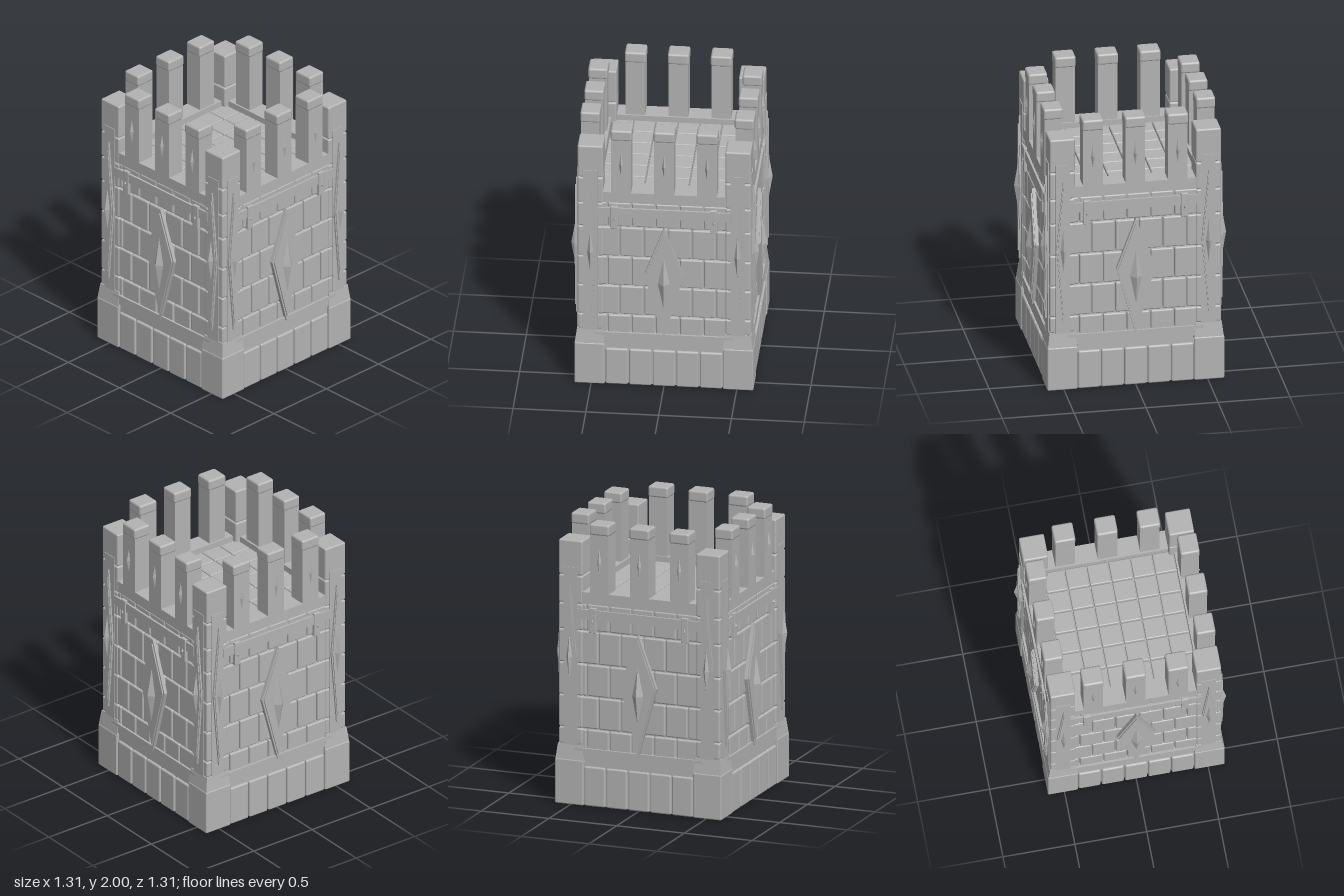
import * as THREE from 'three';
import { RoundedBoxGeometry } from 'three/addons/geometries/RoundedBoxGeometry.js';

const stone = new THREE.MeshStandardMaterial({ color: 0xb3b3b3 });
stone.name = 'grey stone';

function add(parent, name, geometry) {
  const mesh = new THREE.Mesh(geometry, stone);
  mesh.name = name;
  parent.add(mesh);
  return mesh;
}

// Box given by its limits on each axis; bevel > 0 softens the edges
function block(parent, name, [x0, x1], [y0, y1], [z0, z1], bevel = 0) {
  const w = x1 - x0, h = y1 - y0, d = z1 - z0;
  const geo = bevel ? new RoundedBoxGeometry(w, h, d, 2, bevel) : new THREE.BoxGeometry(w, h, d);
  geo.translate((x0 + x1) / 2, (y0 + y1) / 2, (z0 + z1) / 2);
  return add(parent, name, geo);
}

// Flat lozenge plate, its widest point at height ym
function lozenge(parent, name, x, hw, [y0, ym, y1], [z0, z1]) {
  const shape = new THREE.Shape([
    new THREE.Vector2(x, y0), new THREE.Vector2(x + hw, ym),
    new THREE.Vector2(x, y1), new THREE.Vector2(x - hw, ym),
  ]);
  const geo = new THREE.ExtrudeGeometry(shape, { depth: z1 - z0, bevelEnabled: false });
  add(parent, name, geo.translate(0, 0, z0));
}

// Four-sided pointed stud facing +z
function stud(parent, name, x, y, hw, hh, [z0, z1]) {
  const geo = new THREE.ConeGeometry(1, 1, 4).toNonIndexed();
  geo.rotateX(Math.PI / 2).scale(hw, hh, z1 - z0).translate(x, y, (z0 + z1) / 2);
  geo.computeVertexNormals();
  add(parent, name, geo);
}

// Box narrowing towards the top
function taperedBlock(parent, name, x, z, w0, w1, [y0, y1]) {
  const geo = new THREE.BoxGeometry(w0, y1 - y0, w0);
  const p = geo.attributes.position;
  for (let i = 0; i < p.count; i++) {
    if (p.getY(i) > 0) p.setXYZ(i, p.getX(i) * w1 / w0, p.getY(i), p.getZ(i) * w1 / w0);
  }
  geo.computeVertexNormals();
  add(parent, name, geo.translate(x, (y0 + y1) / 2, z));
}

const ROWS = [0.31, 0.54, 0.77, 1.0, 1.235, 1.43];

function createSide() {
  const side = new THREE.Group();

  // Foot stones
  for (let i = 0; i < 5; i++) {
    const x = -0.405 + i * 0.162;
    block(side, 'footStone', [x + 0.004, x + 0.158], [0, 0.28], [0.5, 0.61], 0.012);
  }
  block(side, 'footLedge', [-0.41, 0.41], [0.26, 0.31], [0.5, 0.593]);

  // Staggered courses of wall stones
  const width = 0.165;
  for (let r = 0; r < ROWS.length - 1; r++) {
    const start = r % 2 ? -0.47 : -0.555;
    for (let i = 0; i < 7; i++) {
      const x0 = Math.max(start + i * width, -0.47);
      const x1 = Math.min(start + (i + 1) * width, 0.47);
      if (x1 - x0 < 0.04) continue;
      block(side, 'wallStone', [x0 + 0.004, x1 - 0.004],
        [ROWS[r] + 0.005, ROWS[r + 1] - 0.005], [0.52, 0.588], 0.01);
    }
  }

  // Lower and upper rails, and the parapet
  block(side, 'lowerRail', [-0.475, 0.475], [0.335, 0.405], [0.55, 0.603]);
  block(side, 'lowerRailLip', [-0.4, 0.4], [0.31, 0.335], [0.55, 0.597]);
  block(side, 'upperRail', [-0.455, 0.455], [1.32, 1.39], [0.55, 0.603]);
  block(side, 'parapet', [-0.46, 0.46], [1.43, 1.51], [0.455, 0.592]);
  block(side, 'parapetLip', [-0.45, 0.45], [1.39, 1.43], [0.55, 0.582]);

  // Rail brackets with small studs
  for (const x of [-0.34, 0.34]) {
    block(side, 'railBracket', [x - 0.025, x + 0.025], [1.23, 1.405], [0.56, 0.61], 0.004);
    stud(side, 'bracketStud', x, 1.31, 0.009, 0.02, [0.609, 0.622]);
  }

  // Large central lozenge
  lozenge(side, 'centreLozenge', 0, 0.135, [0.38, 0.88, 1.25], [0.56, 0.612]);
  lozenge(side, 'centreLozengeFace', 0, 0.122, [0.42, 0.88, 1.215], [0.6, 0.62]);
  stud(side, 'centreStud', 0, 0.82, 0.042, 0.21, [0.619, 0.655]);

  // Corner pilaster strips with tall lozenges
  for (const s of [-1, 1]) {
    const x = s * 0.505;
    block(side, 'pilasterStrip', [x - 0.05, x + 0.05], [0.42, 1.68], [0.56, 0.6]);
    lozenge(side, 'pilasterLozenge', x, 0.047, [0.5, 1.05, 1.57], [0.59, 0.612]);
    lozenge(side, 'pilasterLozengeFace', x, 0.038, [0.56, 1.05, 1.51], [0.6, 0.619]);
    stud(side, 'pilasterStud', x, 1.05, 0.022, 0.165, [0.618, 0.645]);
  }

  // Tall battlement posts with caps
  for (const x of [-0.295, 0, 0.295]) {
    block(side, 'battlementPost', [x - 0.068, x + 0.068], [1.5, 1.94], [0.468, 0.592]);
    block(side, 'battlementCap', [x - 0.073, x + 0.073], [1.92, 2.0], [0.463, 0.597], 0.015);
    stud(side, 'battlementStud', x, 1.73, 0.016, 0.095, [0.591, 0.609]);
  }
  return side;
}

function createCorner(sx, sz) {
  const corner = new THREE.Group();
  const span = (s, a, b) => (s > 0 ? [a, b] : [-b, -a]);

  // Foot block, sloped shoulder, then stacked stones
  block(corner, 'cornerFoot', span(sx, 0.405, 0.615), [0, 0.32], span(sz, 0.405, 0.615), 0.01);
  taperedBlock(corner, 'cornerShoulder', sx * 0.508, sz * 0.508, 0.208, 0.18, [0.31, 0.425]);
  const levels = [0.42, 0.54, 0.77, 1.0, 1.235, 1.42, 1.62, 1.87];
  for (let i = 0; i < levels.length - 1; i++) {
    block(corner, 'cornerStone', span(sx, 0.42, 0.595), [levels[i] + 0.003, levels[i + 1]],
      span(sz, 0.42, 0.595), 0.012);
  }
  return corner;
}

export function createModel() {
  const tower = new THREE.Group();
  tower.name = 'tower';

  // Solid cores behind the stones
  block(tower, 'footCore', [-0.585, 0.585], [0.002, 0.3], [-0.585, 0.585]);
  block(tower, 'wallCore', [-0.565, 0.565], [0.25, 1.44], [-0.565, 0.565]);

  // Roof floor of square tiles
  const tile = 0.1515;
  for (let i = 0; i < 6; i++) {
    for (let j = 0; j < 6; j++) {
      const x = -0.4545 + i * tile, z = -0.4545 + j * tile;
      block(tower, 'floorTile', [x + 0.003, x + tile - 0.003], [1.42, 1.475],
        [z + 0.003, z + tile - 0.003], 0.008);
    }
  }

  // Four matching sides
  for (let i = 0; i < 4; i++) {
    const side = createSide();
    side.name = 'wallSide';
    side.rotation.y = i * Math.PI / 2;
    tower.add(side);
  }

  // Four corner columns
  for (const sx of [-1, 1]) {
    for (const sz of [-1, 1]) {
      const corner = createCorner(sx, sz);
      corner.name = 'cornerColumn';
      tower.add(corner);
    }
  }
  return tower;
}
